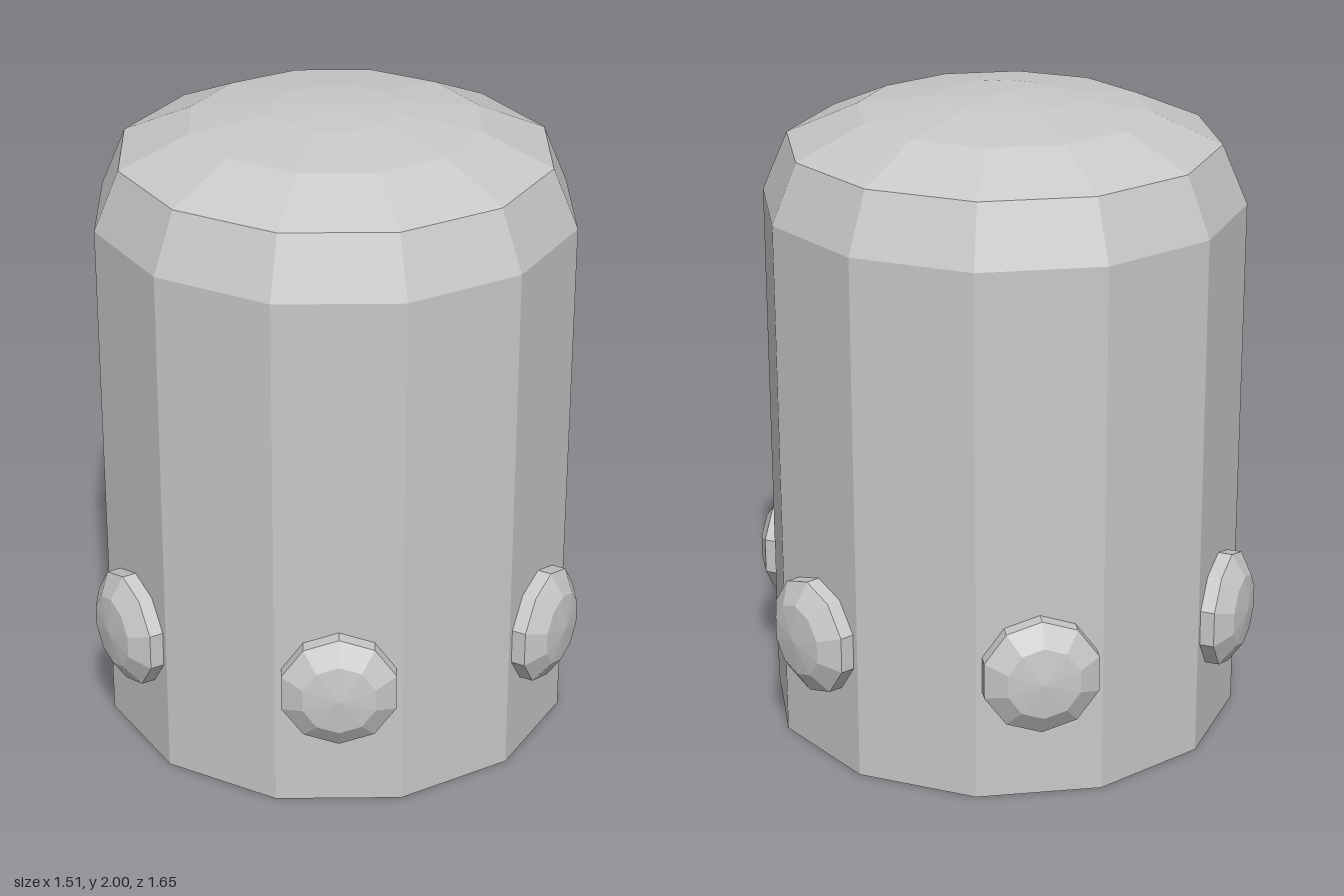
import * as THREE from 'three';

const v = (r, y) => new THREE.Vector2(r, y);

export function createModel() {
  const model = new THREE.Group();
  model.name = 'domedCanister';
  const grey = new THREE.MeshStandardMaterial({ color: 0xc8c8c8, flatShading: true, side: THREE.DoubleSide });
  grey.name = 'plainGrey';

  const add = (geometry, name, parent = model) => {
    const mesh = new THREE.Mesh(geometry, grey);
    mesh.name = name;
    parent.add(mesh);
    return mesh;
  };

  // Twelve-sided shell, open at the bottom, a flat side facing front
  const sides = 12, turn = Math.PI / sides, radius = 0.747;
  const lathe = (points) => new THREE.LatheGeometry(points, sides, turn);
  add(lathe([v(radius, 0), v(radius, 1.675)]), 'wall');
  add(lathe([v(radius, 1.675), v(0.668, 1.86), v(0.45, 1.955), v(0.2, 1.99), v(0, 2)]), 'domedTop');

  // Flat ceiling inside the hollow base
  const ceiling = new THREE.CircleGeometry(radius, sides, turn);
  ceiling.rotateX(Math.PI / 2);
  add(ceiling, 'innerCeiling').position.y = 0.71;

  // Six domed studs through the wall, on every second side
  const stud = new THREE.LatheGeometry(
    [v(0, -0.045), v(0.183, -0.045), v(0.183, 0.044), v(0.115, 0.089), v(0, 0.102)], 10);
  stud.rotateX(Math.PI / 2);
  for (let i = 0; i < 6; i++) {
    const holder = new THREE.Group();
    holder.name = 'studHolder' + (i + 1);
    holder.rotation.y = i * Math.PI / 3;
    add(stud, 'stud', holder).position.set(0, 0.413, 0.722);
    model.add(holder);
  }
  return model;
}
